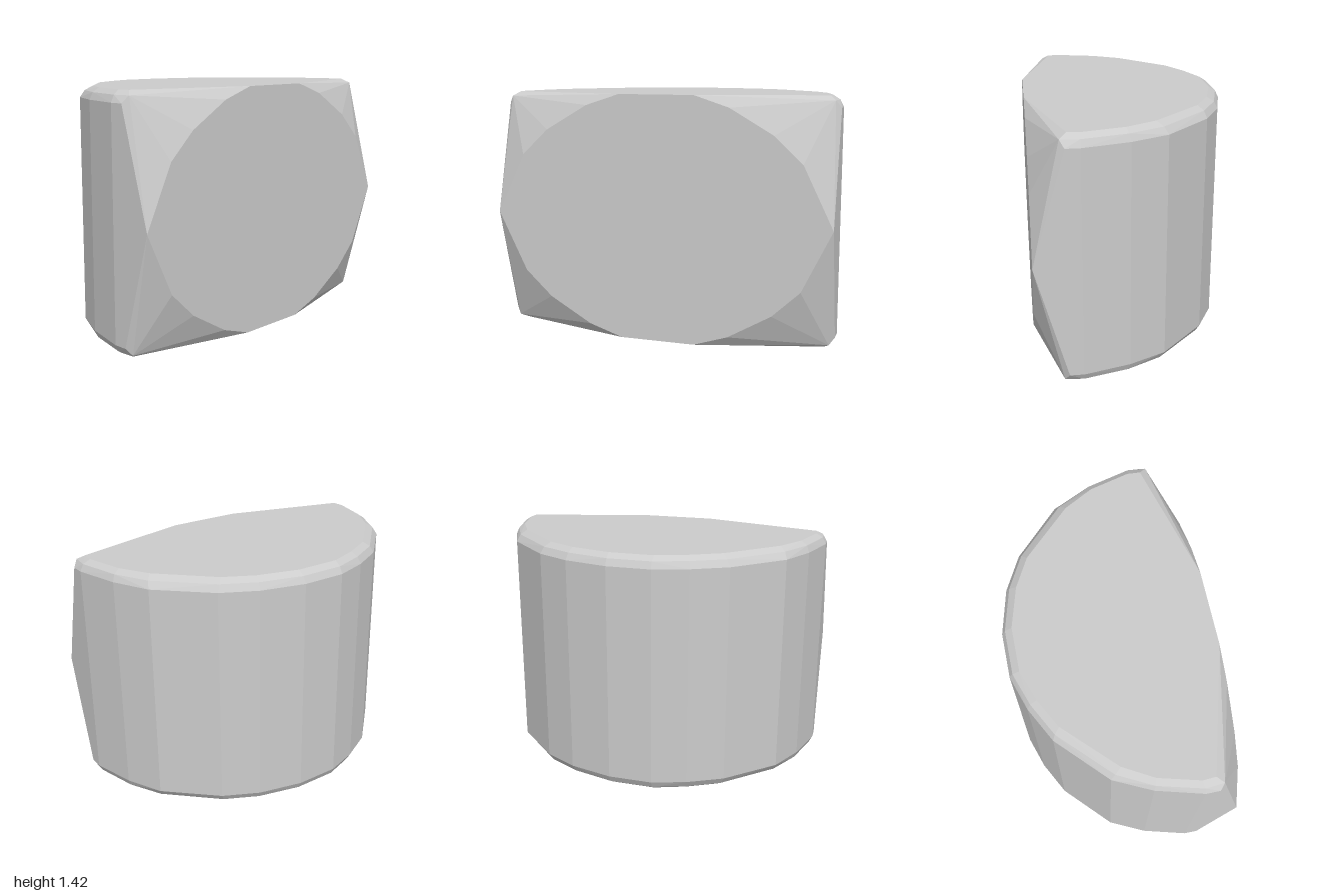
import * as THREE from 'three';
import { ConvexGeometry } from 'three/addons/geometries/ConvexGeometry.js';

const HEIGHT = 1.42, MID = HEIGHT / 2, FRONT = 0.58;

// Plan outlines [x, z] of the curved wall, its bevel and the flat caps (right half, front to back)
const wall = [[1, 0.4], [1, 0.32], [0.93, 0.06], [0.83, -0.15], [0.56, -0.41], [0.36, -0.515], [0.13, -0.58]];
const bevel = [[0.97, 0.425], [0.98, 0.32], [0.915, 0.07], [0.815, -0.125], [0.54, -0.395], [0.35, -0.495], [0.13, -0.56]];
const cap = [[0.22, FRONT], [0.935, 0.385], [0.94, 0.31], [0.88, 0.08], [0.785, -0.09], [0.51, -0.365], [0.34, -0.455], [0.13, -0.52]];

// Rounded outline [x, height above the middle] of the flat front face
const face = [[1, 0], [0.83, 0.35], [0.67, 0.5], [0.42, 0.645], [0.22, MID]];

export function createModel() {
  const points = [];
  // Mirror each point left-right and top-bottom
  const addMirrored = (x, h, z) => {
    for (const sx of [-1, 1]) for (const sy of [-1, 1]) {
      points.push(new THREE.Vector3(sx * x + (z < -0.51 && x < 0.2 ? -0.03 : 0), MID + sy * h, z));
    }
  };
  wall.forEach(([x, z]) => addMirrored(x, 0.645, z));
  bevel.forEach(([x, z]) => addMirrored(x, 0.685, z));
  cap.forEach(([x, z]) => addMirrored(x, MID, z));
  face.forEach(([x, h]) => addMirrored(x, h, FRONT));

  // Faceted convex body
  const body = new THREE.Mesh(
    new ConvexGeometry(points),
    new THREE.MeshStandardMaterial({ color: 0xcccccc, flatShading: true })
  );
  body.name = 'body';

  const group = new THREE.Group();
  group.name = 'roundedBackBlock';
  group.add(body);
  return group;
}
